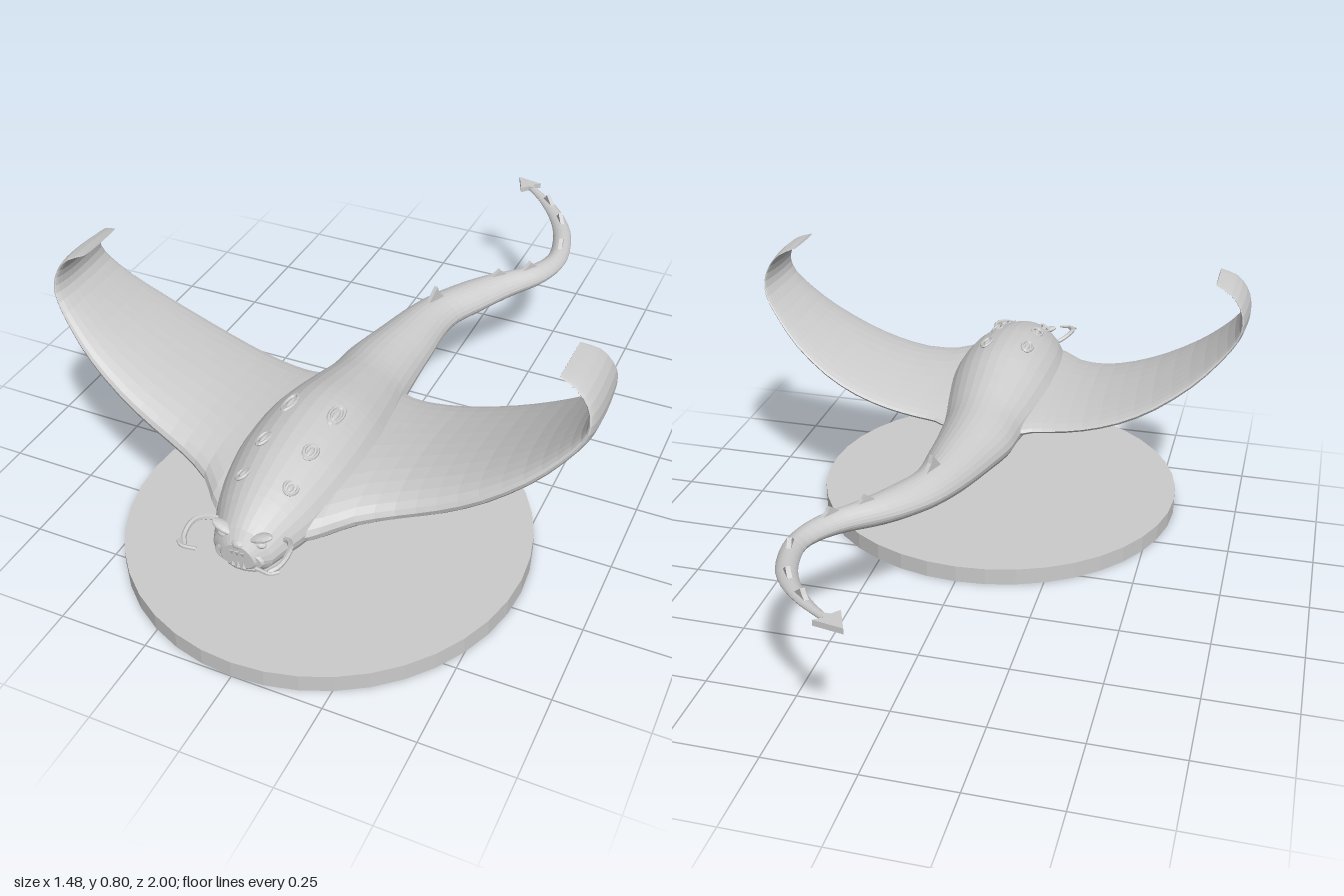
import * as THREE from 'three';

const mat = new THREE.MeshStandardMaterial({ color: 0xcccccc, flatShading: true, side: THREE.DoubleSide });

// Smooth interpolation through rows of [t, ...values]
function track(rows) {
  const n = rows[0].length - 1;
  const f = new THREE.CubicInterpolant(rows.map(r => r[0]), rows.flatMap(r => r.slice(1)), n, new Float32Array(n));
  return t => Array.from(f.evaluate(t));
}

// Skin over closed rings of points, with both ends capped
function loft(rings, flip = false) {
  const m = rings[0].length, pos = [], idx = [];
  const tri = (a, b, c) => (flip ? idx.push(a, c, b) : idx.push(a, b, c));
  rings.forEach(r => r.forEach(p => pos.push(p.x, p.y, p.z)));
  for (let i = 0; i < rings.length - 1; i++) {
    for (let j = 0; j < m; j++) {
      const a = i * m + j, b = i * m + (j + 1) % m;
      tri(a, a + m, b);
      tri(b, a + m, b + m);
    }
  }
  const end = (rings.length - 1) * m;
  for (let j = 1; j < m - 1; j++) {
    tri(0, j, j + 1);
    tri(end, end + j + 1, end + j);
  }
  const g = new THREE.BufferGeometry();
  g.setAttribute('position', new THREE.Float32BufferAttribute(pos, 3));
  g.setIndex(idx);
  g.computeVertexNormals();
  return g;
}

// Body and tail stations: -z, centre x, half width, bottom, top
const bodyAt = track([
  [-0.925, 0, 0.045, 0.305, 0.375], [-0.905, 0, 0.075, 0.285, 0.4], [-0.86, 0, 0.097, 0.275, 0.43],
  [-0.8, 0, 0.125, 0.27, 0.457], [-0.7, 0, 0.152, 0.268, 0.486], [-0.6, 0, 0.165, 0.268, 0.502],
  [-0.45, 0, 0.162, 0.268, 0.5], [-0.3, 0, 0.14, 0.268, 0.467], [-0.2, 0, 0.12, 0.27, 0.443],
  [-0.1, 0, 0.112, 0.276, 0.43], [0, 0.01, 0.098, 0.285, 0.42], [0.2, 0.042, 0.071, 0.305, 0.406],
  [0.3, 0.09, 0.073, 0.313, 0.402], [0.4, 0.155, 0.063, 0.322, 0.4], [0.5, 0.24, 0.045, 0.335, 0.396],
  [0.6, 0.28, 0.032, 0.346, 0.393], [0.7, 0.27, 0.03, 0.355, 0.396], [0.8, 0.23, 0.03, 0.368, 0.4],
  [0.9, 0.15, 0.025, 0.385, 0.406], [0.965, 0.072, 0.016, 0.394, 0.41],
]);
function bodyPoint(z, a) {
  const [x, w, bot, top] = bodyAt(-z), h = top - bot, s = Math.sin(a);
  const y = bot + h * 0.45 + (s > 0 ? h * 0.55 : h * 0.45) * s;
  return new THREE.Vector3(x + w * Math.cos(a) * (1 - 0.15 * Math.max(s, 0)), y, z);
}

// Wing stations: index, x, y, half thickness, rear z, front z
const wingRows = [
  [0, 0.345, 0.072, 0.17, 0.84], [0.1, 0.345, 0.07, 0.18, 0.82], [0.15, 0.35, 0.068, 0.2, 0.785],
  [0.21, 0.355, 0.064, 0.205, 0.72], [0.3, 0.372, 0.058, 0.205, 0.675], [0.4, 0.405, 0.055, 0.207, 0.65],
  [0.5, 0.455, 0.047, 0.22, 0.63], [0.6, 0.525, 0.036, 0.25, 0.605], [0.67, 0.592, 0.027, 0.285, 0.58],
  [0.715, 0.65, 0.02, 0.31, 0.56], [0.727, 0.695, 0.015, 0.33, 0.55], [0.715, 0.74, 0.012, 0.345, 0.54],
  [0.685, 0.774, 0.009, 0.355, 0.535], [0.64, 0.793, 0.004, 0.375, 0.525],
];
const wingAt = track(wingRows.map((r, i) => [i, ...r]));
function wing(side) {
  const rings = [], last = wingRows.length - 1, n = 26;
  for (let i = 0; i <= n; i++) {
    const u = i / n * last, [x, y, t, z0, z1] = wingAt(u);
    const p = wingAt(Math.max(u - 0.05, 0)), q = wingAt(Math.min(u + 0.05, last));
    const d = new THREE.Vector2(q[0] - p[0], q[1] - p[1]).normalize();
    rings.push(Array.from({ length: 28 }, (_, j) => {
      const a = j / 28 * Math.PI * 2, c = Math.cos(a);
      const k = t * Math.sin(a) * (0.78 + 0.25 * c);
      return new THREE.Vector3(side * (x - d.y * k), y + d.x * k, (z0 + z1) / 2 + (z1 - z0) / 2 * c);
    }));
  }
  return loft(rings, side < 0);
}

function flatShape(points, depth) {
  const s = new THREE.Shape(points.map(p => new THREE.Vector2(...p)));
  return new THREE.ExtrudeGeometry(s, { depth, bevelEnabled: false }).translate(0, 0, -depth / 2);
}

export function createModel() {
  const root = new THREE.Group();
  const add = (name, geo, x = 0, y = 0, z = 0, parent = root) => {
    const m = new THREE.Mesh(geo, mat);
    m.name = name;
    m.position.set(x, y, z);
    parent.add(m);
    return m;
  };

  // Display base
  add('base', new THREE.CylinderGeometry(0.56, 0.56, 0.05, 40), 0, 0.025, 0.44);

  // Body running into the winding tail
  const rings = [];
  for (let i = 0; i <= 70; i++) {
    const z = 0.925 - 1.89 * i / 70;
    rings.push(Array.from({ length: 28 }, (_, j) => bodyPoint(z, j / 28 * Math.PI * 2)));
  }
  add('bodyAndTail', loft(rings));

  // Barbed tail tip
  add('tailBarb', flatShape([[0.02, 1], [0.05, 0.93], [0.068, 0.95], [0.09, 0.95], [0.08, 0.97], [0.1, 0.985]], 0.016)
    .rotateX(-Math.PI / 2), 0, 0.402, 0);

  // Spines along the tail, leaning backward
  for (const [z, h] of [[-0.2, 0.045], [-0.41, 0.022], [-0.49, 0.024], [-0.66, 0.024], [-0.8, 0.026], [-0.89, 0.026]]) {
    const p = bodyPoint(z, Math.PI / 2), q = bodyPoint(z - 0.03, Math.PI / 2);
    const spine = add('tailSpine', flatShape([[-0.04, -0.008], [0.04, -0.008], [0.012, h * 0.5], [0.004, h]], 0.012), p.x, p.y - 0.003, p.z);
    spine.rotation.y = Math.atan2(p.z - q.z, q.x - p.x);
  }

  // Face: lips, mouth, nose
  const head = new THREE.Group();
  head.name = 'face';
  root.add(head);
  add('lips', new THREE.TorusGeometry(0.05, 0.009, 6, 24).scale(1.15, 0.52, 1), 0, 0.333, 0.913, head);
  add('nose', new THREE.SphereGeometry(0.018, 10, 8).scale(1.1, 0.7, 0.8), 0, 0.373, 0.914, head);
  add('chin', new THREE.SphereGeometry(0.05, 14, 8).scale(1.2, 0.4, 0.7), 0, 0.298, 0.885, head);
  for (let i = -3; i <= 3; i++) {
    const drop = 0.0012 * i * i;
    add('upperTooth', new THREE.ConeGeometry(0.007, 0.02, 5).rotateX(Math.PI), i * 0.0145, 0.348 - drop, 0.924 - drop, head);
    add('lowerTooth', new THREE.ConeGeometry(0.007, 0.02, 5), i * 0.0145, 0.319 + drop, 0.924 - drop, head);
  }

  for (const side of [1, -1]) {
    const label = side > 0 ? 'left' : 'right';
    add(label + 'Wing', wing(side));

    // Eye below a slanted brow
    add(label + 'Eye', new THREE.SphereGeometry(0.014, 10, 8).scale(1.3, 0.7, 0.8), side * 0.048, 0.375, 0.898, head);
    const brow = add(label + 'Brow', new THREE.SphereGeometry(0.036, 12, 8).scale(1, 0.28, 0.5), side * 0.048, 0.392, 0.894, head);
    brow.rotation.z = side * 0.35;

    // Curling feeler with a forked end
    const v = (x, y, z) => new THREE.Vector3(side * x, y, z);
    const feeler = (name, pts, r) =>
      add(label + name, new THREE.TubeGeometry(new THREE.CatmullRomCurve3(pts), 14, r, 6), 0, 0, 0, head);
    feeler('Feeler', [v(0.08, 0.365, 0.85), v(0.105, 0.375, 0.86), v(0.13, 0.388, 0.9), v(0.128, 0.382, 0.95), v(0.112, 0.378, 0.975)], 0.007);
    feeler('FeelerFork', [v(0.135, 0.378, 0.965), v(0.118, 0.378, 0.978), v(0.08, 0.378, 0.975)], 0.005);

    // Three rimmed openings on the back
    [[0.51, 1.1, 0.034], [0.655, 1.08, 0.026], [0.765, 0.99, 0.021]].forEach(([z, a, len]) => {
      const p = bodyPoint(z, side > 0 ? a : Math.PI - a), [, w, bot, top] = bodyAt(-z);
      const gill = new THREE.Group();
      gill.name = label + 'Gill';
      gill.position.copy(p);
      const n = new THREE.Vector3(side * Math.cos(a) / w, Math.sin(a) / ((top - bot) * 0.55), 0).normalize();
      gill.rotation.z = -Math.atan2(n.x, n.y);
      root.add(gill);
      add('gillRim', new THREE.TorusGeometry(1, 0.25, 6, 14).rotateX(Math.PI / 2).scale(0.017, 0.02, len), 0, 0, 0, gill);
      add('gillLid', new THREE.SphereGeometry(1, 10, 6).scale(0.008, 0.005, len * 0.7), 0, 0, 0, gill);
    });
  }
  return root;
}
